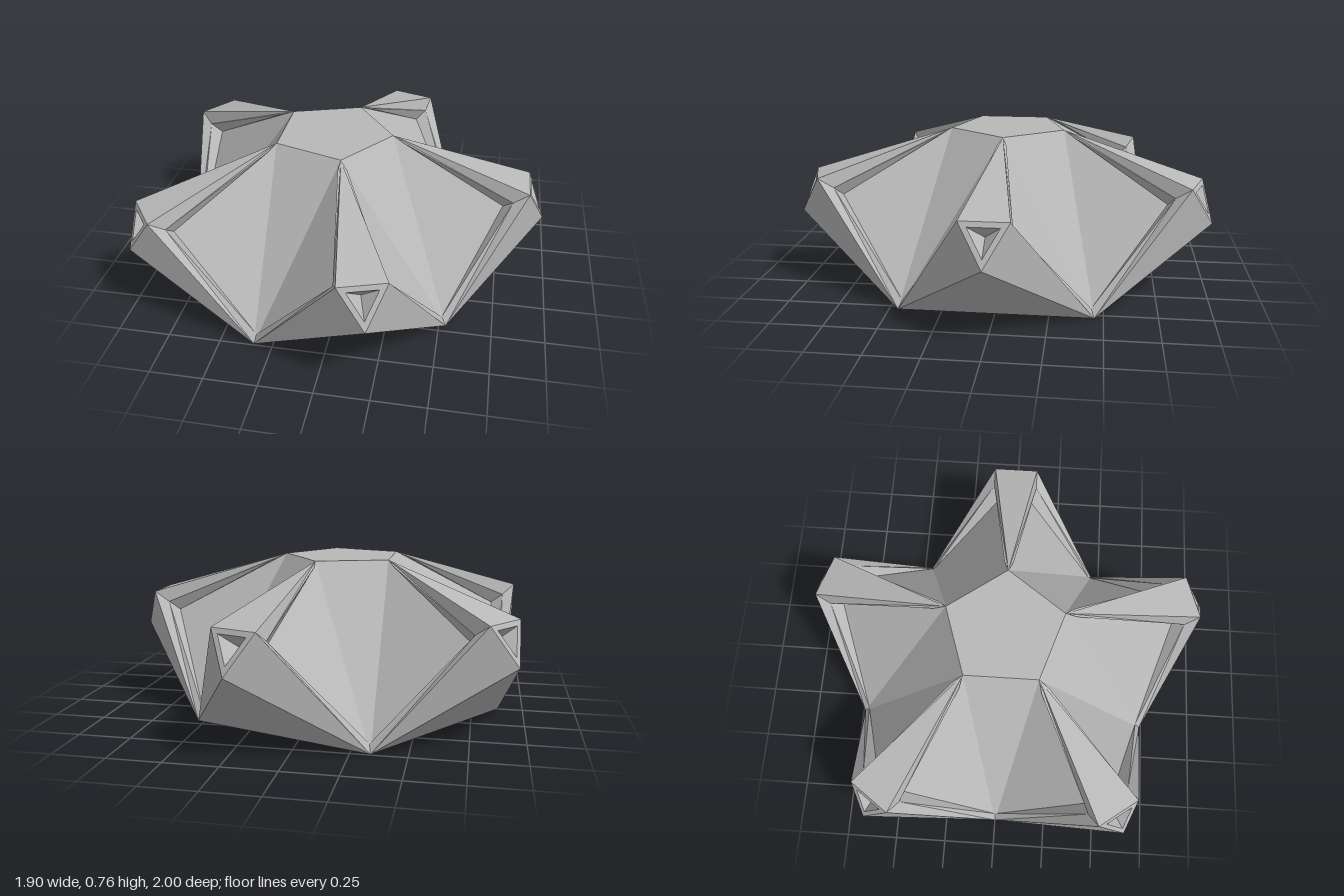
import * as THREE from 'three';

const CX = -0.098;          // axis of the five-fold body
const STEP = Math.PI * 2 / 5;

// point from arm angle, radius, sideways offset and height
function pt(angle, r, t, y) {
  const c = Math.cos(angle), s = Math.sin(angle);
  return new THREE.Vector3(CX + r * c - t * s, y, r * s + t * c);
}

// flat mesh from a list of triangles
function facets(name, tris, material) {
  const geo = new THREE.BufferGeometry().setFromPoints(tris.flat());
  geo.computeVertexNormals();
  const mesh = new THREE.Mesh(geo, material);
  mesh.name = name;
  return mesh;
}

export function createModel() {
  const grey = new THREE.MeshStandardMaterial({ color: 0xb8b8b8 });
  grey.name = 'stone grey';
  const root = new THREE.Group();
  root.name = 'facetedStar';

  const top = (a) => pt(a, 0.296, 0, 0.76);
  const foot = (a) => pt(a, 0.78, 0, 0);
  const topMid = pt(0, 0, 0, 0.76), baseMid = pt(0, 0, 0, 0);
  const cap = [], base = [];

  for (let k = 0; k < 5; k++) {
    const a = k * STEP;
    const V = top(a), Vnext = top(a + STEP), T = pt(a, 1.05, 0, 0.375);
    const B = (s) => foot(a + s * STEP / 2);
    const A = (s) => pt(a, 0.97, s * 0.11, 0.56);
    // lip around a sunken panel: near the top, at the outer corner, at the foot
    const L = (s) => pt(a, 0.35, s * 0.022, 0.735);
    const Q = (s) => pt(a, 0.895, s * 0.112, 0.51);
    const M = (s) => pt(a + s * STEP / 2, 0.753, 0, 0.038);
    const P = (s) => pt(a, 0.85, s * 0.075, 0.465); // undercut corner of the panel
    cap.push([topMid, Vnext, V]);
    base.push([baseMid, B(-1), B(1)]);

    // arm ridge, side bands, underside and lips
    const arm = [[V, A(1), A(-1)], [T, B(1), B(-1)]];
    const panel = [[V, Vnext, B(1)]];
    for (const s of [1, -1]) {
      const add = (list, x, y, z) => list.push(s > 0 ? [x, y, z] : [x, z, y]);
      add(arm, A(s), B(s), T);
      add(arm, V, L(s), Q(s));
      add(arm, V, Q(s), A(s));
      add(arm, Q(s), M(s), B(s));
      add(arm, Q(s), B(s), A(s));
      add(panel, V, B(s), P(s));
      add(panel, V, P(s), L(s));
      add(panel, L(s), P(s), Q(s));
      add(panel, P(s), M(s), Q(s));
    }

    // arm end with a small shallow three-sided socket
    const tip = [];
    const rim = [A(1), T, A(-1)];
    const mid = rim[0].clone().add(rim[1]).add(rim[2]).divideScalar(3);
    const inner = rim.map((p) => p.clone().lerp(mid, 0.36));
    const deep = pt(a, 0.93, 0, 0.48);
    for (let i = 0; i < 3; i++) {
      const j = (i + 1) % 3;
      tip.push([rim[i], rim[j], inner[j]], [rim[i], inner[j], inner[i]]);
      tip.push([inner[i], inner[j], deep]);
    }

    const group = new THREE.Group();
    group.name = 'starPoint' + (k + 1);
    group.add(facets('arm', arm, grey), facets('sunkenPanel', panel, grey), facets('tipSocket', tip, grey));
    root.add(group);
  }

  root.add(facets('topPentagon', cap, grey), facets('basePentagon', base, grey));
  return root;
}
